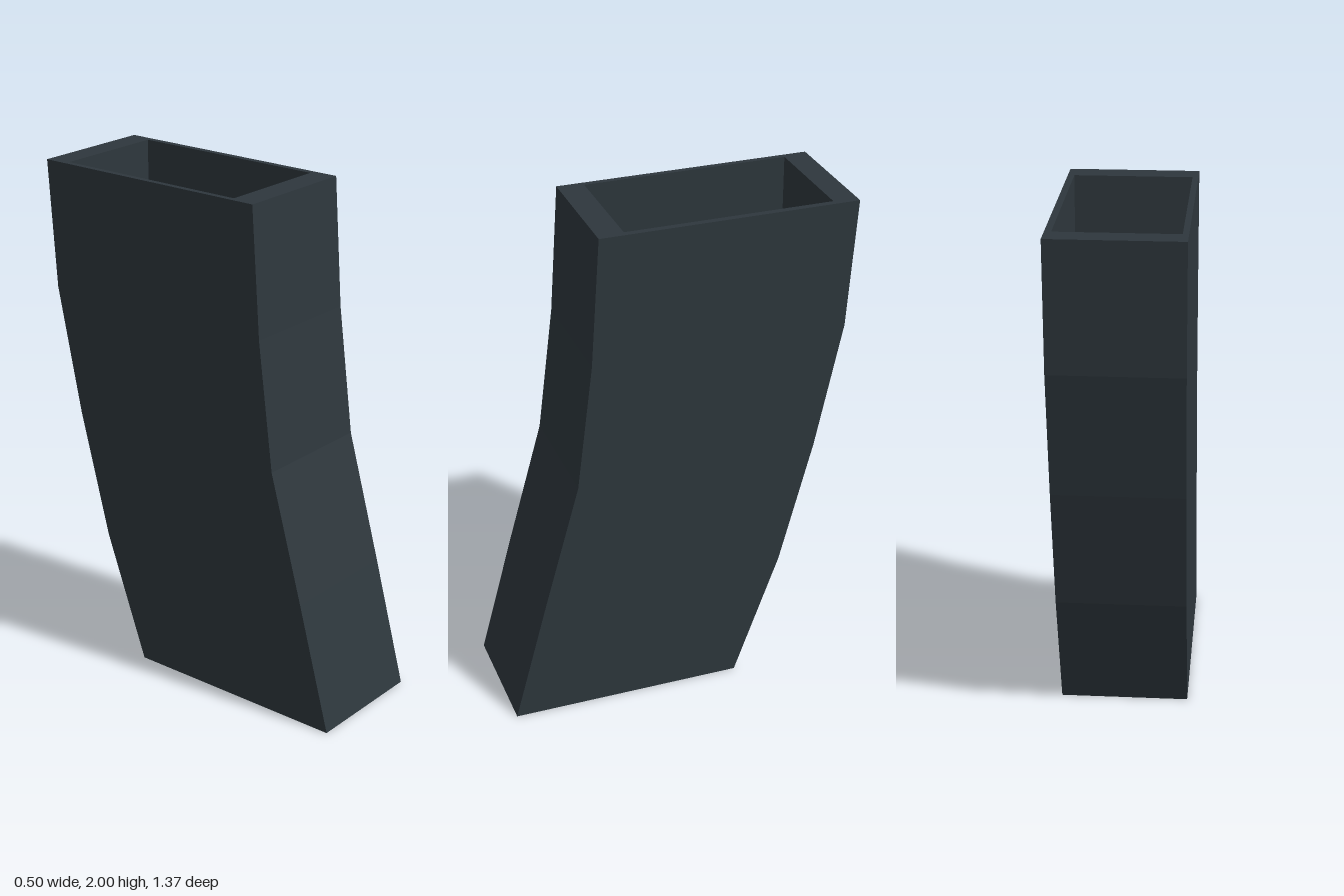
import * as THREE from 'three';

// Rectangular cross-section, counter-clockwise seen from above
const ring = (y, x0, x1, front, back) => [
  [x0, y, front], [x1, y, front], [x1, y, back], [x0, y, back],
];

// Quads between successive rings, closed by a cap at each end
function loft(rings) {
  const pos = [];
  const quad = (a, b, c, d) => pos.push(...a, ...b, ...c, ...a, ...c, ...d);
  for (let r = 0; r < rings.length - 1; r++) {
    const a = rings[r], b = rings[r + 1];
    for (let i = 0; i < 4; i++) {
      const j = (i + 1) % 4;
      quad(a[i], a[j], b[j], b[i]);
    }
  }
  quad(...[...rings[0]].reverse());
  quad(...rings[rings.length - 1]);
  const geometry = new THREE.BufferGeometry();
  geometry.setAttribute('position', new THREE.Float32BufferAttribute(pos, 3));
  geometry.computeVertexNormals();
  return geometry;
}

export function createModel() {
  const group = new THREE.Group();
  group.name = 'curvedBox';

  const darkSlate = new THREE.MeshStandardMaterial({ color: 0x2e373d });
  darkSlate.name = 'dark slate';

  // Curved outer shell: height, front z, back z
  const profile = [
    [0, 0.685, -0.235],
    [0.5, 0.55, -0.415],
    [1, 0.41, -0.545],
    [1.5, 0.347, -0.65],
    [2, 0.313, -0.685],
  ];
  const rings = profile.map(([y, front, back]) => ring(y, -0.25, 0.247, front, back));

  // Rim, then the straight pocket down to its floor
  rings.push(ring(2, -0.228, 0.222, 0.212, -0.59));
  rings.push(ring(1.5, -0.228, 0.222, 0.212, -0.59));

  const body = new THREE.Mesh(loft(rings), darkSlate);
  body.name = 'hollowBody';
  group.add(body);
  return group;
}
